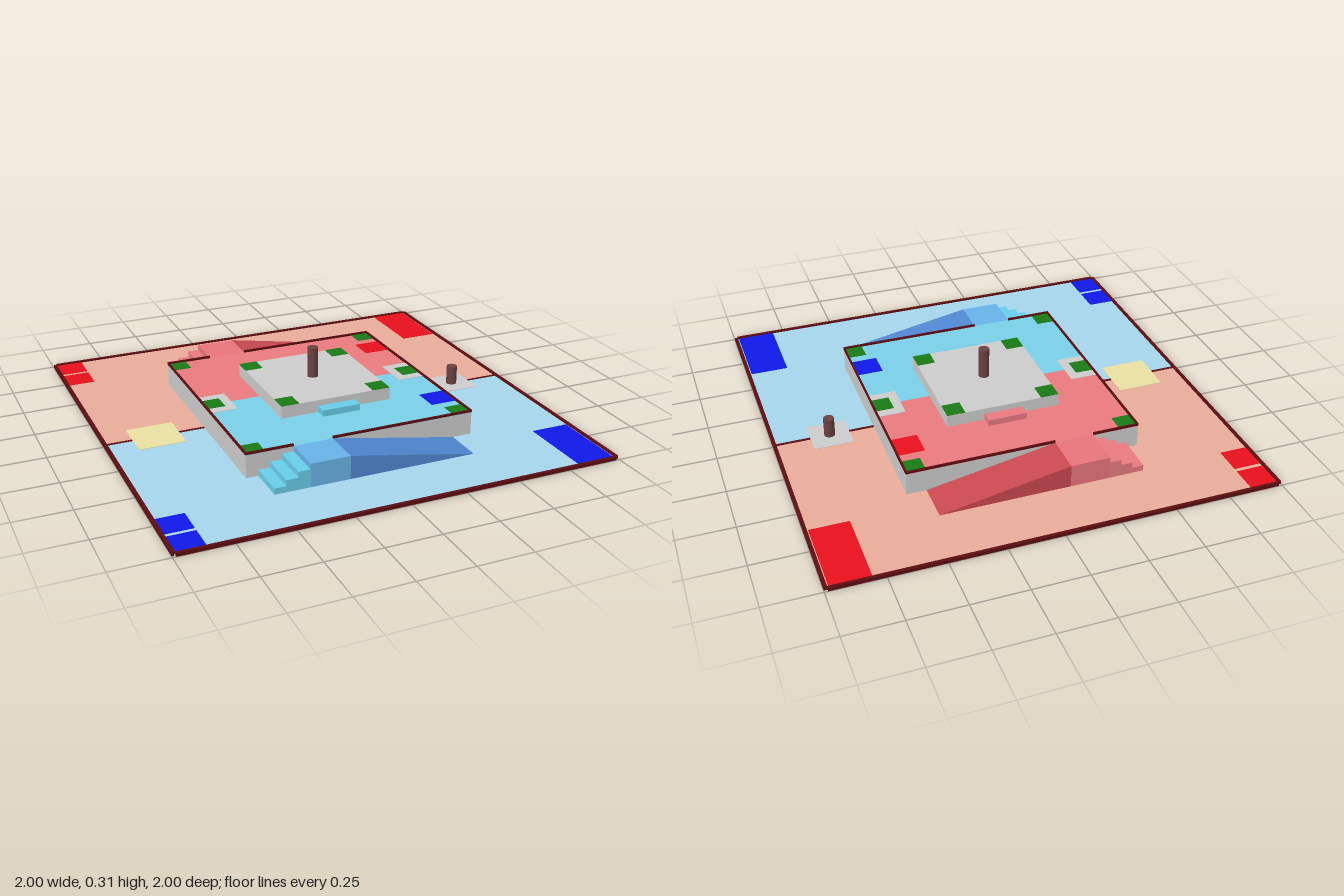
import * as THREE from 'three';

const GREY = 0xcccccc, RED = 0xe8101c, BLUE = 0x1018e8, GREEN = 0x187a14, DARK = 0x5c0c10, POST = 0x6a4040;
const FLOOR = 0.008, DECK = 0.115, TOP = 0.172, EDGE = 0.535;

export function createModel() {
  const model = new THREE.Group();
  const materials = {};
  const material = (color) => (materials[color] ??= new THREE.MeshStandardMaterial({ color, flatShading: true }));

  const add = (name, geometry, color) => {
    const mesh = new THREE.Mesh(geometry, material(color));
    mesh.name = name;
    model.add(mesh);
    return mesh;
  };
  // Box given by its limits on each axis
  const block = (name, x0, x1, y0, y1, z0, z1, color) => {
    const box = new THREE.BoxGeometry(x1 - x0, y1 - y0, Math.abs(z1 - z0));
    add(name, box, color).position.set((x0 + x1) / 2, (y0 + y1) / 2, (z0 + z1) / 2);
  };
  // Thin coloured marking lying on a surface
  const tile = (name, x0, x1, z0, z1, y, color) => block(name, x0, x1, y, y + 0.002, z0, z1, color);
  const post = (name, x, y0, y1) =>
    add(name, new THREE.CylinderGeometry(0.025, 0.025, y1 - y0, 16), POST).position.set(x, (y0 + y1) / 2, 0);

  // Raised platform and upper platform
  block('platform', -EDGE, EDGE, FLOOR, DECK - 0.003, -EDGE, EDGE, GREY);
  block('upperPlatform', -0.265, 0.265, DECK, TOP, -0.265, 0.265, GREY);

  // Both team halves, mirrored across z = 0
  const teams = [
    { s: 1, team: 'blue', floor: 0xa5d5ea, deck: 0x7ad0e8, step: 0x68cce8, landing: 0x68b2e8, ramp: 0x4f86d0, mark: BLUE },
    { s: -1, team: 'red', floor: 0xe8ac9a, deck: 0xe87a7e, step: 0xe87a80, landing: 0xe8747c, ramp: 0xc84850, mark: RED },
  ];
  for (const { s, team, floor, deck, step, landing, ramp, mark } of teams) {
    block(team + 'Floor', -0.99, 0.99, 0, FLOOR, 0, s * 0.99, floor);
    block(team + 'Deck', -EDGE, EDGE, DECK - 0.003, DECK, 0, s * EDGE, deck);
    block(team + 'UpperStep', -0.09, 0.09, DECK, 0.145, s * 0.265, s * 0.32, step);

    // Stairs, landing and ramp
    const z0 = s * EDGE, z1 = s * 0.715;
    for (let i = 0; i < 3; i++) {
      const x = -0.48 + i * 0.0533;
      block(team + 'Stair' + (i + 1), x, x + 0.0533, FLOOR, 0.036 + i * 0.027, z0, z1, step);
    }
    block(team + 'Landing', -0.32, -0.14, FLOOR, DECK, z0, z1, landing);
    const wedge = new THREE.Shape([[-0.14, 0.002], [0.48, 0.002], [-0.14, DECK]].map((p) => new THREE.Vector2(...p)));
    const rampGeometry = new THREE.ExtrudeGeometry(wedge, { depth: 0.18, bevelEnabled: false });
    add(team + 'Ramp', rampGeometry, ramp).position.z = Math.min(z0, z1);

    // Team zones on the floor and deck
    tile(team + 'LargeZone', 0.805, 0.98, s * 0.628, s * 0.985, FLOOR, mark);
    tile(team + 'InnerZone', -0.985, -0.86, s * 0.715, s * 0.84, FLOOR, mark);
    tile(team + 'OuterZone', -0.985, -0.86, s * 0.86, s * 0.985, FLOOR, mark);
    tile(team + 'DeckZone', 0.41, 0.533, s * 0.28, s * 0.4, DECK, mark);

    // Rim strips, open where the landing meets the deck
    block(team + 'RimShort', -EDGE, -0.32, DECK, 0.125, s * 0.529, s * 0.537, DARK);
    block(team + 'RimLong', -0.14, EDGE, DECK, 0.125, s * 0.529, s * 0.537, DARK);
    block(team + 'Border', -0.985, 0.985, 0, 0.015, s * 0.985, s, DARK);
  }

  for (const s of [-1, 1]) {
    const span = (a, b) => (s > 0 ? [a, b] : [-b, -a]);
    // Side rims, borders and centre line
    block('sideRim', ...span(0.529, 0.537), DECK, 0.125, -EDGE, EDGE, DARK);
    block('sideBorder', ...span(0.985, 1), 0, 0.015, -0.99, 0.99, DARK);
    tile('centreLine', ...span(EDGE, 0.985), -0.007, 0.007, FLOOR - 0.0005, DARK);

    // Grey patches and green marks
    tile('deckPatch', ...span(0.405, 0.533), -0.09, 0.09, DECK, GREY);
    tile('deckSideMark', ...span(0.447, 0.533), -0.045, 0.045, DECK + 0.0015, GREEN);
    for (const t of [-1, 1]) {
      tile('deckCornerMark', ...span(0.447, 0.533), t * 0.447, t * 0.53, DECK, GREEN);
      tile('upperCornerMark', ...span(0.18, 0.264), t * 0.18, t * 0.264, TOP, GREEN);
    }
  }

  // Floor patches and posts
  tile('yellowPatch', -0.87, -0.655, -0.107, 0.107, FLOOR + 0.001, 0xe8e0a0);
  tile('postPatch', 0.65, 0.83, -0.09, 0.09, FLOOR + 0.001, GREY);
  post('centrePost', 0, TOP, 0.315);
  post('sidePost', 0.74, FLOOR, 0.1);

  return model;
}
